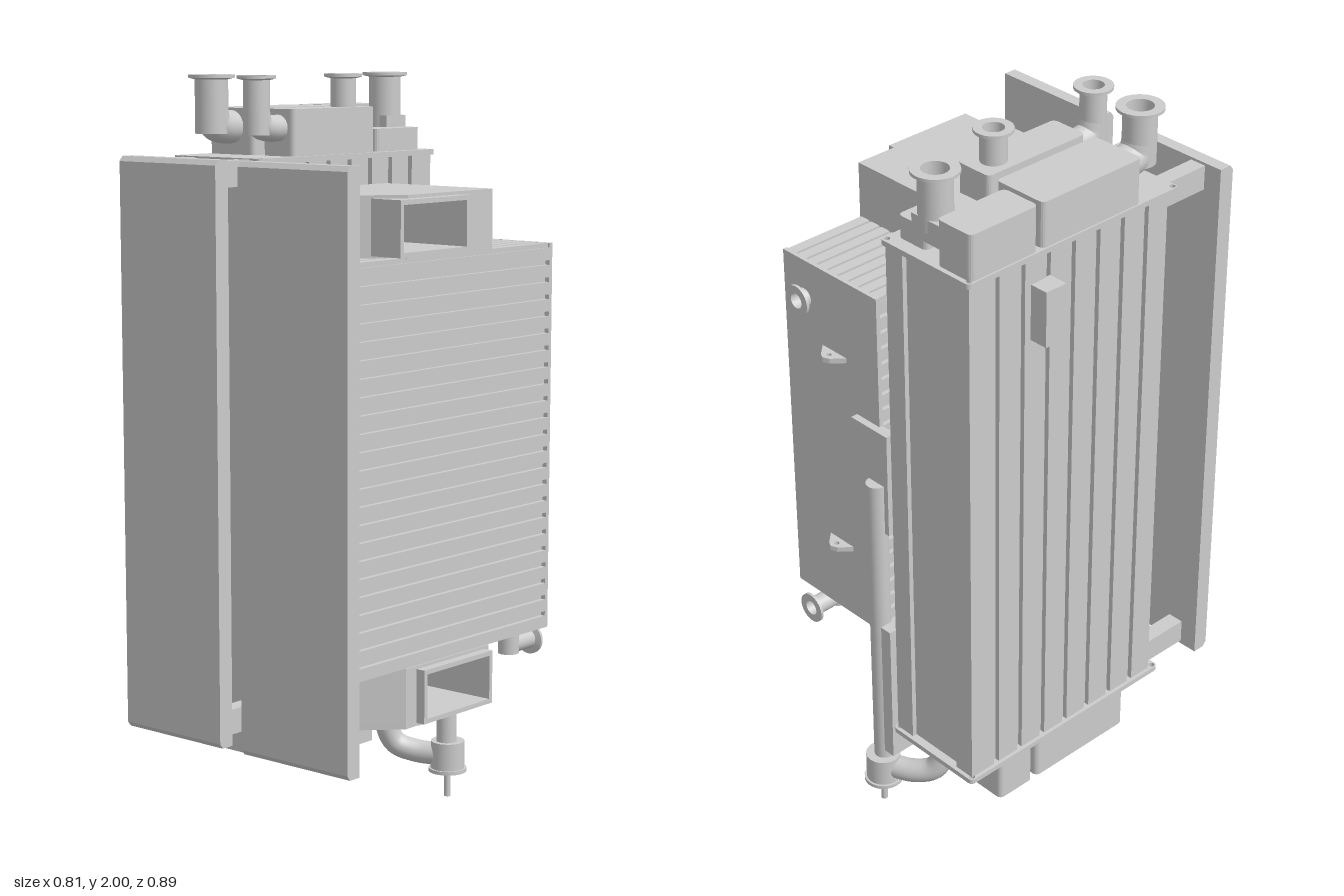
import * as THREE from 'three';

const mat = new THREE.MeshStandardMaterial({ color: 0xcccccc, side: THREE.DoubleSide });

function add(parent, name, geo) {
  const m = new THREE.Mesh(geo, mat);
  m.name = name;
  parent.add(m);
  return m;
}

// Box given by its limits on each axis
function box(parent, name, x0, x1, y0, y1, z0, z1) {
  const m = add(parent, name, new THREE.BoxGeometry(x1 - x0, y1 - y0, z1 - z0));
  m.position.set((x0 + x1) / 2, (y0 + y1) / 2, (z0 + z1) / 2);
  return m;
}

// Upright extrusion of an [x, z] outline between two heights, with round holes [x, z, r]
function slab(parent, name, pts, y0, y1, holes = []) {
  const shape = new THREE.Shape(pts.map(([x, z]) => new THREE.Vector2(x, -z)));
  for (const [x, z, r] of holes) shape.holes.push(new THREE.Path().absarc(x, -z, r, 0, Math.PI * 2, true));
  const geo = new THREE.ExtrudeGeometry(shape, { depth: y1 - y0, bevelEnabled: false, curveSegments: 12 });
  geo.rotateX(-Math.PI / 2).translate(0, y0, 0);
  return add(parent, name, geo);
}

// Outline of a rectangle with rounded corners
function roundRect(x0, x1, z0, z1, r) {
  const pts = [];
  [[x1 - r, z1 - r], [x0 + r, z1 - r], [x0 + r, z0 + r], [x1 - r, z0 + r]].forEach(([x, z], q) => {
    for (let i = 0; i <= 4; i++) {
      const a = (q + i / 4) * Math.PI / 2;
      pts.push([x + r * Math.cos(a), z + r * Math.sin(a)]);
    }
  });
  return pts;
}

function cylinder(parent, name, x, y0, y1, z, r) {
  const m = add(parent, name, new THREE.CylinderGeometry(r, r, y1 - y0, 32));
  m.position.set(x, (y0 + y1) / 2, z);
}

// Hollow flanged nozzle pointing up, base at y = 0
function nozzleGeometry(len, r, flange) {
  const profile = [[r, 0], [r, len - 0.012], [flange, len - 0.008], [flange, len], [r * 0.8, len], [r * 0.8, 0.005], [0, 0.005]];
  const pts = [];
  profile.forEach(([a, b], i) => { // doubled points keep the rims sharp
    pts.push(new THREE.Vector2(a, b));
    if (i > 0 && i < profile.length - 1) pts.push(new THREE.Vector2(a, b));
  });
  return new THREE.LatheGeometry(pts, 32);
}

function tube(parent, name, pts, r) {
  const curve = new THREE.CatmullRomCurve3(pts.map(p => new THREE.Vector3(...p)));
  add(parent, name, new THREE.TubeGeometry(curve, 24, r, 20));
}

// Front panel with bevelled top and bottom edges
function frontPanel(parent, x0, x1) {
  const s = new THREE.Shape([[0.402, 0.305], [0.437, 0.305], [0.447, 0.318], [0.447, 1.785], [0.437, 1.798], [0.402, 1.798]]
    .map(([z, y]) => new THREE.Vector2(-z, y)));
  const geo = new THREE.ExtrudeGeometry(s, { depth: x1 - x0, bevelEnabled: false });
  geo.rotateY(Math.PI / 2).translate(x0, 0, 0);
  add(parent, 'frontPanel', geo);
}

function makePlateUnit() {
  const g = new THREE.Group();
  g.name = 'corrugatedUnit';
  frontPanel(g, -0.385, -0.05);
  box(g, 'core', -0.345, -0.085, 0.32, 1.78, -0.405, 0.25);

  // Vertical corrugations on both sides
  for (let i = 0; i < 8; i++) {
    const z = -0.405 + i * 0.083;
    for (const [a, b] of [[-0.358, -0.345], [-0.085, -0.072]]) box(g, 'sideRib', a, b, 0.32, 1.78, z, z + 0.066);
  }
  for (const x of [-0.358, -0.13]) box(g, 'backRib', x, x + 0.058, 0.32, 1.78, -0.418, -0.4);

  // End plates with corner holes
  const holes = [];
  for (const x of [-0.355, -0.074]) for (const z of [-0.415, 0.26]) holes.push([x, z, 0.008]);
  for (const y of [0.305, 1.78]) slab(g, 'endPlate', roundRect(-0.367, -0.063, -0.428, 0.272, 0.012), y, y + 0.014, holes);

  // Struts to the front panel
  for (const x of [-0.333, -0.145]) for (const y of [0.315, 1.725]) box(g, 'strut', x, x + 0.046, y, y + 0.066, 0.24, 0.405);

  // Headers at the top and bottom
  for (const [x0, x1, z0, z1, h] of [[-0.362, -0.248, -0.415, -0.202, 0.12], [-0.362, -0.205, -0.187, 0.142, 0.12],
    [-0.18, -0.072, -0.187, 0.135, 0.12], [-0.182, -0.086, -0.39, -0.212, 0.06]]) {
    slab(g, 'topHeader', roundRect(x0, x1, z0, z1, 0.014), 1.79, 1.794 + h);
    slab(g, 'bottomHeader', roundRect(x0, x1, Math.max(z0, -0.32), z1, 0.014), 0.31 - h, 0.31);
  }

  // Upright nozzles and the necks feeding them
  for (const [x, z, y, r, f] of [[-0.283, 0.215, 1.85, 0.043, 0.06], [-0.126, 0.215, 1.85, 0.034, 0.05],
    [-0.126, -0.12, 1.91, 0.034, 0.05], [-0.185, -0.36, 1.85, 0.043, 0.06]]) {
    add(g, 'nozzle', nozzleGeometry(2 - y, r, f)).position.set(x, y, z);
  }
  for (const [x, r] of [[-0.283, 0.043], [-0.126, 0.034]]) {
    tube(g, 'nozzleElbow', [[x, 1.866, 0.12], [x, 1.866, 0.17], [x, 1.875, 0.203], [x, 1.91, 0.215]], r);
  }
  box(g, 'nozzleNeck', -0.255, -0.145, 1.825, 1.885, -0.4, -0.32);

  box(g, 'sideBox', -0.41, -0.355, 1.56, 1.71, -0.22, -0.155);

  // Slim ribbed rail along the inner side
  box(g, 'rail', -0.039, -0.033, 0.31, 0.39, -0.32, 0.18);
  for (let i = 0; i < 4; i++) box(g, 'railRib', -0.042, -0.03, 0.312 + i * 0.022, 0.324 + i * 0.022, -0.32, 0.18);
  slab(g, 'railEnd', [[-0.07, 0.29], [-0.027, 0.29], [-0.027, 0.17], [-0.042, 0.17]], 0.325, 0.375);
  slab(g, 'railEnd', [[-0.07, -0.305], [-0.03, -0.325], [-0.03, -0.38], [-0.07, -0.385]], 0.305, 0.39);
  box(g, 'backBox', -0.057, -0.022, 0.21, 0.625, -0.425, -0.32);
  return g;
}

// Chamfered header with a recessed rectangular port on its +x side
function portHeader(parent, y0, z0, z1, xOut) {
  const g = new THREE.Group();
  g.name = 'portHeader';
  const front = [[0.11, 0.305], [0.025, 0.22], [0.025, -0.115]];
  const y1 = y0 + 0.155, w = 0.012;
  const full = [[0.375, -0.115], [0.375, 0.22], [0.29, 0.305], ...front];
  const a = z0 + w, b = z1 - w, inner = 0.16;
  const edgeX = Math.min(0.375, 0.595 - b);
  const notched = [[0.375, -0.115], [0.375, a], [inner, a], [inner, b], [edgeX, b]];
  if (b < 0.22) notched.push([0.375, 0.22]);
  notched.push([0.29, 0.305], ...front);
  slab(g, 'headerFloor', full, y0, y0 + 0.02);
  slab(g, 'headerWall', notched, y0 + 0.02, y1 - 0.02);
  slab(g, 'headerRoof', full, y1 - 0.02, y1);

  // Duct frame around the port
  const xIn = z1 > 0.22 ? 0.31 : 0.37, p0 = y0 + 0.008, p1 = y1 - 0.008;
  box(g, 'portFrame', xIn, xOut, p0, p0 + w, z0, z1);
  box(g, 'portFrame', xIn, xOut, p1 - w, p1, z0, z1);
  box(g, 'portFrame', 0.37, xOut, p0, p1, z0, a);
  box(g, 'portFrame', xIn, xOut, p0, p1, b, z1);
  parent.add(g);
}

function makeFinnedUnit() {
  const g = new THREE.Group();
  g.name = 'finnedUnit';
  frontPanel(g, 0.025, 0.378);
  box(g, 'core', 0.037, 0.363, 0.557, 1.556, -0.36, 0.405);
  box(g, 'backPlate', 0.025, 0.376, 0.545, 1.568, -0.37, -0.358);

  // Horizontal bars on the sides, lengthwise bars on the top and bottom
  const rows = 23, pitch = 1.023 / rows;
  for (let i = 0; i < rows; i++) {
    const y = 0.545 + i * pitch;
    for (const [a, b] of [[0.025, 0.038], [0.362, 0.376]]) box(g, 'sideBar', a, b, y, y + pitch * 0.72, -0.36, 0.405);
  }
  for (let i = 0; i < 9; i++) {
    const x = 0.027 + i * 0.039;
    for (const y of [0.545, 1.555]) box(g, 'endBar', x, x + 0.031, y, y + 0.013, -0.36, 0.405);
  }

  portHeader(g, 1.565, 0.015, 0.283, 0.405);
  portHeader(g, 0.388, -0.1, 0.178, 0.4);

  // Ribbed block on the inner side
  box(g, 'innerBlock', -0.016, 0.03, 0.55, 0.66, -0.25, -0.055);
  for (let i = 0; i < 4; i++) box(g, 'innerBlockRib', -0.022 + i * 0.012, -0.014 + i * 0.012, 0.545, 0.665, -0.25, -0.055);

  // Lifting lugs
  for (const y of [0.755, 1.335]) {
    slab(g, 'lug', [[0.14, -0.365], [0.24, -0.365], [0.205, -0.402], [0.19, -0.41], [0.172, -0.402]], y, y + 0.014, [[0.188, -0.39, 0.007]]);
  }

  // Back nozzles
  for (const [y, z, len] of [[1.46, -0.36, 0.037], [0.498, -0.29, 0.107]]) {
    const n = add(g, 'backNozzle', nozzleGeometry(len, 0.026, 0.042));
    n.rotation.x = -Math.PI / 2;
    n.position.set(0.3, y, z);
  }
  cylinder(g, 'nozzleRiser', 0.3, 0.475, 0.56, -0.3, 0.028);
  return g;
}

function makeDrainPipe() {
  const g = new THREE.Group();
  g.name = 'drainPipe';
  box(g, 'pipeBox', -0.023, 0.11, 0.9, 1.2, -0.39, -0.36);
  cylinder(g, 'standpipe', 0.02, 0.14, 1.045, -0.39, 0.028);
  cylinder(g, 'cup', 0.02, 0.08, 0.16, -0.395, 0.047);
  cylinder(g, 'cupRim', 0.02, 0.073, 0.083, -0.395, 0.053);
  cylinder(g, 'drainRod', 0.02, 0, 0.08, -0.395, 0.009);
  tube(g, 'drainElbow', [[-0.128, 0.26, -0.3], [-0.128, 0.2, -0.305], [-0.11, 0.145, -0.325], [-0.06, 0.123, -0.358], [0.015, 0.12, -0.39]], 0.032);
  return g;
}

export function createModel() {
  const model = new THREE.Group();
  model.name = 'heatExchangerPair';
  model.add(makePlateUnit(), makeFinnedUnit(), makeDrainPipe());
  return model;
}
